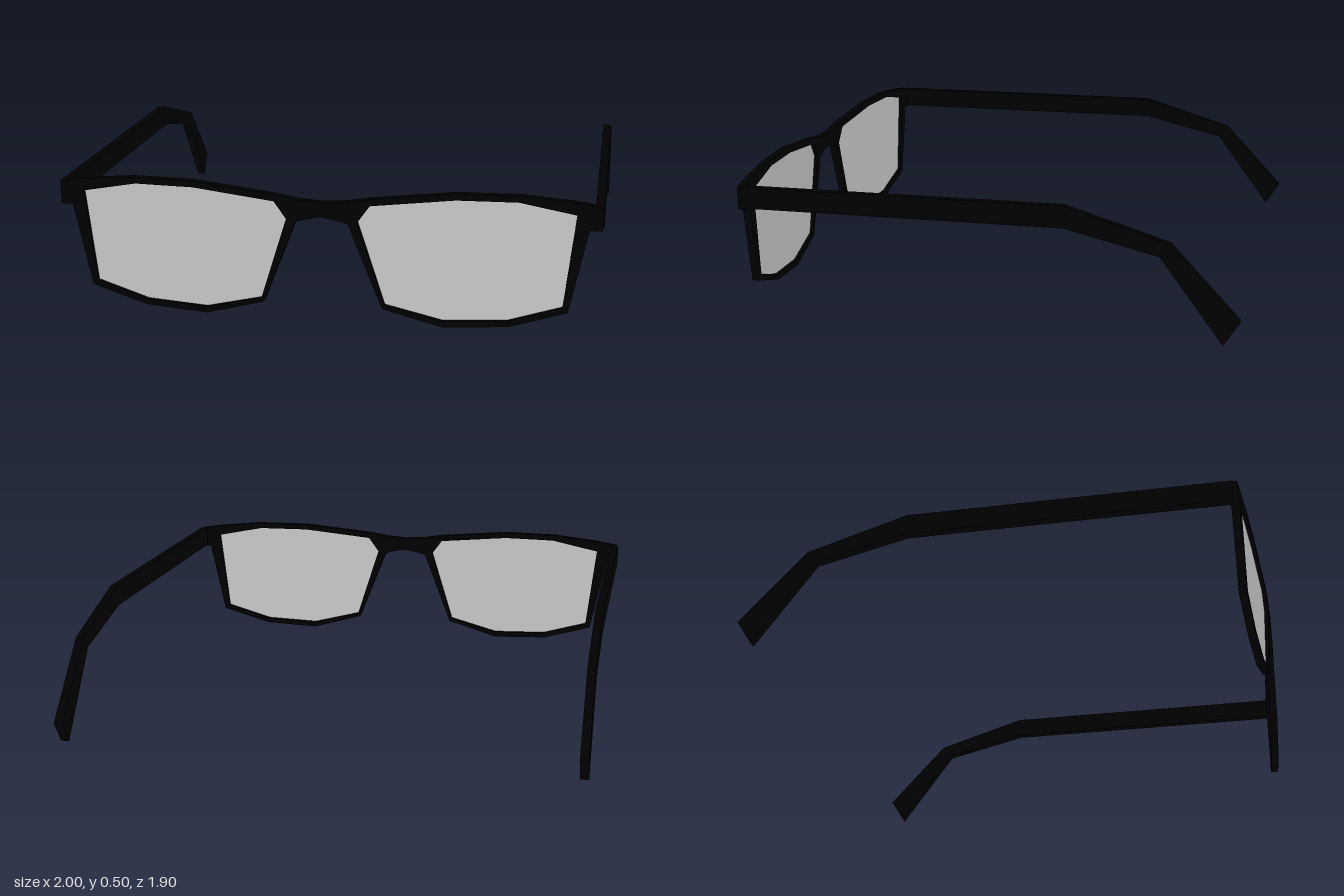
import * as THREE from 'three';

// Half of the rim outline, from top centre round to bottom centre
const OUTER = [
  [0, 0.457], [0.09, 0.463], [0.17, 0.477], [0.48, 0.508], [0.71, 0.508], [0.9, 0.49], [0.995, 0.475],
  [0.995, 0.39], [0.95, 0.39], [0.885, 0.08], [0.675, 0.017], [0.44, 0.004],
  [0.219, 0.066], [0.095, 0.382], [0.05, 0.394], [0, 0.403],
];
// Opening that holds one lens
const OPENING = [
  [0.175, 0.453], [0.48, 0.485], [0.7, 0.485], [0.905, 0.445],
  [0.865, 0.097], [0.67, 0.038], [0.44, 0.027], [0.228, 0.08], [0.13, 0.39],
];
// Side profile of an arm as [z, y]
const ARM = [
  [0.885, 0.475], [-0.32, 0.475], [-0.7, 0.36], [-0.95, 0.094],
  [-0.893, 0.004], [-0.664, 0.313], [-0.32, 0.395], [0.885, 0.395],
];

const toVectors = (points, side = 1) => points.map(([x, y]) => new THREE.Vector2(side * x, y));

// Sweeps the front backwards toward the hinges
function bend(geometry) {
  const p = geometry.attributes.position;
  for (let i = 0; i < p.count; i++) {
    p.setZ(i, p.getZ(i) + 0.935 - 0.056 * Math.max(0, Math.abs(p.getX(i)) - 0.12));
  }
  geometry.computeVertexNormals();
  return geometry;
}

function addMesh(group, name, geometry, material) {
  const mesh = new THREE.Mesh(geometry, material);
  mesh.name = name;
  group.add(mesh);
}

export function createModel() {
  const group = new THREE.Group();
  group.name = 'glasses';
  const black = new THREE.MeshStandardMaterial({ color: 0x000000, flatShading: true });
  const grey = new THREE.MeshStandardMaterial({ color: 0xcccccc, side: THREE.DoubleSide });

  // Front frame: mirrored outline, counter-clockwise, with two openings
  const outline = [...toVectors(OUTER, -1), ...toVectors(OUTER.slice(1, -1)).reverse()];
  const front = new THREE.Shape(outline);
  for (const side of [1, -1]) front.holes.push(new THREE.Path(toVectors(OPENING, side)));
  const rim = new THREE.ExtrudeGeometry(front, { depth: 0.03, bevelEnabled: false });
  rim.translate(0, 0, -0.015);
  addMesh(group, 'frontFrame', bend(rim), black);

  for (const side of [1, -1]) {
    const label = side > 0 ? 'left' : 'right';

    // Thin lens in the middle of the rim
    const lens = new THREE.ShapeGeometry(new THREE.Shape(toVectors(OPENING, side)));
    addMesh(group, label + 'Lens', bend(lens), grey);

    // Arm with the bent ear piece, its profile turned into the side plane
    const arm = new THREE.ExtrudeGeometry(new THREE.Shape(toVectors(ARM, -1)), { depth: 0.033, bevelEnabled: false });
    arm.rotateY(Math.PI / 2);
    arm.translate(side > 0 ? 0.967 : -1, 0, 0);
    addMesh(group, label + 'Arm', arm, black);
  }
  return group;
}
